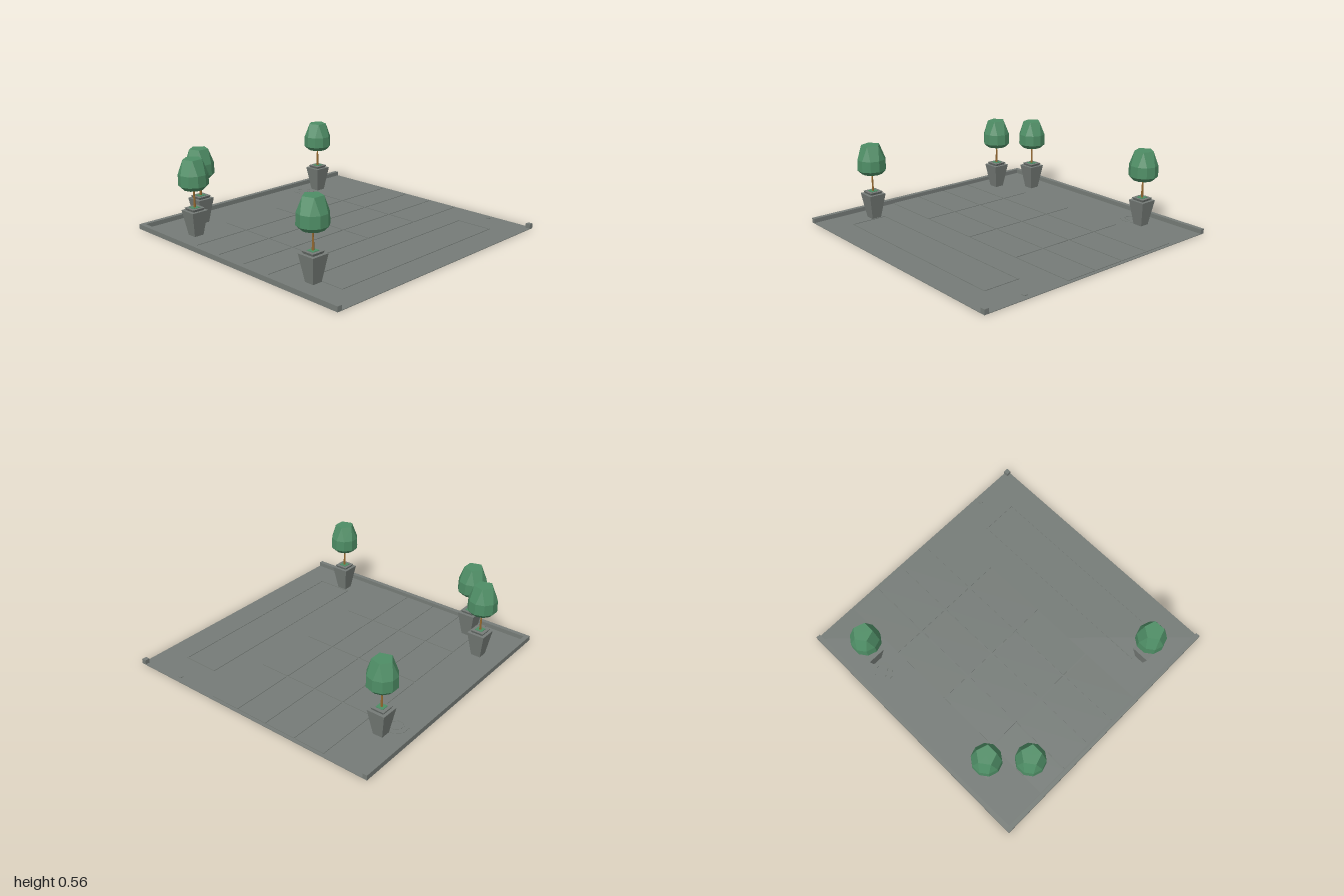
import * as THREE from 'three';

const stone = new THREE.MeshStandardMaterial({ color: 0x757b77 });
stone.name = 'stone grey';
const leaf = new THREE.MeshStandardMaterial({ color: 0x4e8d65 });
leaf.name = 'leaf green';
const bark = new THREE.MeshStandardMaterial({ color: 0x94682f });
bark.name = 'bark brown';

function add(parent, name, geometry, material, x = 0, y = 0, z = 0) {
  const mesh = new THREE.Mesh(geometry, material);
  mesh.name = name;
  mesh.position.set(x, y, z);
  parent.add(mesh);
  return mesh;
}

// Box given by its x, y and z ranges
function block(parent, name, x0, x1, y0, y1, z0, z1) {
  return add(parent, name, new THREE.BoxGeometry(x1 - x0, y1 - y0, z1 - z0), stone,
    (x0 + x1) / 2, (y0 + y1) / 2, (z0 + z1) / 2);
}

// Square tapered block, sized by its half widths
function taper(top, bottom, height) {
  const r = Math.SQRT2;
  return new THREE.CylinderGeometry(top * r, bottom * r, height, 4, 1, false, Math.PI / 4).toNonIndexed();
}

// Faceted crown: decagon rings closing to a pentagon on top
function crownGeometry() {
  const ring = (n, radius, y, offset) => Array.from({ length: n }, (_, i) => {
    const a = (i / n) * Math.PI * 2 + offset;
    return [Math.sin(a) * radius, y, Math.cos(a) * radius];
  });
  const step = Math.PI / 10;
  const low = ring(10, 0.075, 0.345, step);
  const rim = ring(10, 0.106, 0.375, step);
  const mid = ring(10, 0.104, 0.455, step);
  const top = ring(5, 0.07, 0.56, step * 2);
  const out = [];
  const tri = (a, b, c) => out.push(...a, ...b, ...c);
  const quad = (a, b, c, d) => { tri(a, b, c); tri(a, c, d); };
  for (let i = 0; i < 10; i++) {
    const j = (i + 1) % 10;
    quad(low[i], low[j], rim[j], rim[i]);
    quad(rim[i], rim[j], mid[j], mid[i]);
    tri([0, 0.345, 0], low[j], low[i]);
  }
  for (let k = 0; k < 5; k++) {
    const n = (k + 1) % 5;
    const a = mid[2 * k], b = mid[2 * k + 1], c = mid[(2 * k + 2) % 10];
    tri(a, b, top[k]);
    quad(b, c, top[n], top[k]);
    tri([0, 0.56, 0], top[k], top[n]);
  }
  const g = new THREE.BufferGeometry();
  g.setAttribute('position', new THREE.Float32BufferAttribute(out, 3));
  g.computeVertexNormals();
  return g;
}

function pottedTree(crown) {
  const tree = new THREE.Group();
  tree.name = 'pottedTree';
  const pot = taper(0.066, 0.036, 0.186);
  pot.computeVertexNormals();
  add(tree, 'pot', pot, stone, 0, 0.097, 0);
  const collar = taper(0.051, 0.043, 0.018);
  collar.computeVertexNormals();
  add(tree, 'potCollar', collar, stone, 0, 0.199, 0);
  add(tree, 'groundCover', new THREE.BoxGeometry(0.055, 0.004, 0.055), leaf, 0, 0.209, 0);
  const trunk = new THREE.CylinderGeometry(0.005, 0.009, 0.16, 6).toNonIndexed();
  trunk.computeVertexNormals();
  add(tree, 'trunk', trunk, bark, 0, 0.28, 0);
  add(tree, 'crown', crown, leaf);
  return tree;
}

// Flat octagonal ring lying on the floor
function octagonRing(outer, inner) {
  const octagon = (Type, r) => new Type(Array.from({ length: 8 }, (_, i) => {
    const a = ((i + 0.5) / 8) * Math.PI * 2;
    return new THREE.Vector2(Math.cos(a) * r, Math.sin(a) * r);
  }));
  const shape = octagon(THREE.Shape, outer);
  if (inner) shape.holes.push(octagon(THREE.Path, inner));
  const g = new THREE.ExtrudeGeometry(shape, { depth: 0.003, bevelEnabled: false });
  return g.rotateX(-Math.PI / 2);
}

export function createModel() {
  const model = new THREE.Group();
  model.name = 'courtyard';
  const floor = 0.004;

  // Floor with low walls on two sides and a post at the open corner
  block(model, 'floor', -1, 1, 0, floor, -1, 1);
  block(model, 'leftEdgeWall', -1, -0.967, 0, 0.036, -1, 1);
  block(model, 'backWall', -0.967, 1, 0, 0.036, -1, -0.967);
  block(model, 'cornerPost', 0.965, 1, 0, 0.036, 0.965, 1);

  // Paving slabs separated by narrow joints
  const paving = new THREE.Group();
  paving.name = 'paving';
  model.add(paving);
  const xs = [-0.972, -0.494, -0.003, 0.489, 0.98];
  const zs = [-0.655, -0.415, -0.17, 0.075, 0.32];
  const gap = 0.005;
  for (let i = 0; i < 4; i++) {
    for (let j = 0; j < 4; j++) {
      block(paving, 'pavingSlab', xs[i] + gap, xs[i + 1] - gap, floor, 0.008, zs[j] + gap, zs[j + 1] - gap);
    }
  }

  // Thin border of the front bed
  const border = new THREE.Group();
  border.name = 'bedBorder';
  model.add(border);
  const w = 0.007, h = 0.008;
  for (const z of [0.525, 0.795]) block(border, 'longEdging', -0.76, 0.757, floor, h, z, z + w);
  for (const x of [-0.76, 0.75]) block(border, 'shortEdging', x, x + w, floor, h, 0.525 + w, 0.795);

  // Drain cover and small floor fitting
  add(model, 'drainRim', octagonRing(0.085, 0.052), stone, 0.47, floor, -0.835);
  add(model, 'drainCover', octagonRing(0.045), stone, 0.47, floor - 0.001, -0.835);
  block(model, 'floorFitting', 0.938, 0.964, floor, 0.009, 0.64, 0.665);

  // Potted trees
  const crown = crownGeometry();
  for (const [x, z] of [[-0.8, 0.595], [-0.8, -0.595], [-0.595, -0.8], [0.59, -0.8]]) {
    const tree = pottedTree(crown);
    tree.position.set(x, 0, z);
    model.add(tree);
  }
  return model;
}
